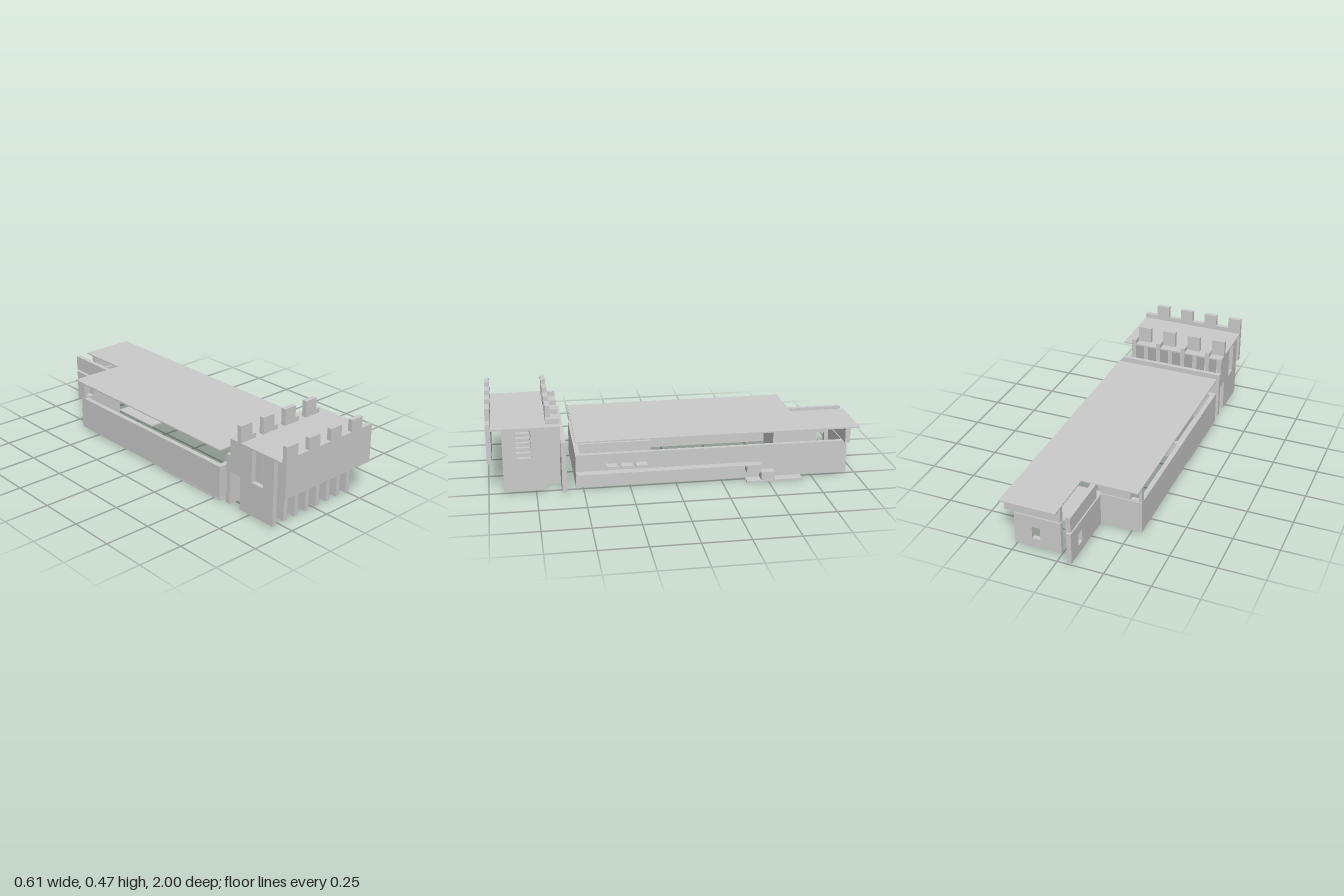
import * as THREE from 'three';

const material = new THREE.MeshStandardMaterial({ color: 0xcccccc, flatShading: true });
const T = 0.026; // wall thickness
const L = -0.307, R = 0.307; // outer sides

export function createModel() {
  const model = new THREE.Group();

  // box given by its limits on each axis
  function box(parent, name, x0, x1, y0, y1, z0, z1) {
    const mesh = new THREE.Mesh(new THREE.BoxGeometry(x1 - x0, y1 - y0, z1 - z0), material);
    mesh.position.set((x0 + x1) / 2, (y0 + y1) / 2, (z0 + z1) / 2);
    mesh.name = name;
    parent.add(mesh);
    return mesh;
  }

  // extruded outline with optional rectangular openings [u0, u1, v0, v1]
  function panel(points, holes, depth) {
    const shape = new THREE.Shape(points.map(p => new THREE.Vector2(...p)));
    for (const [u0, u1, v0, v1] of holes) {
      shape.holes.push(new THREE.Path([[u0, v0], [u0, v1], [u1, v1], [u1, v0]].map(p => new THREE.Vector2(...p))));
    }
    return new THREE.ExtrudeGeometry(shape, { depth, bevelEnabled: false });
  }
  const rect = (u0, u1, v0, v1) => [[u0, v0], [u1, v0], [u1, v1], [u0, v1]];

  // wall facing z, outline in (x, y)
  function crossWall(parent, name, points, holes, z) {
    const mesh = new THREE.Mesh(panel(points, holes, T), material);
    mesh.position.z = z;
    mesh.name = name;
    parent.add(mesh);
  }

  // wall facing x, outline in (z, y)
  function sideWall(parent, name, points, holes, x) {
    const geometry = panel(points.map(([z, y]) => [-z, y]).reverse(),
      holes.map(([a, b, c, d]) => [-b, -a, c, d]), T);
    geometry.rotateY(Math.PI / 2);
    const mesh = new THREE.Mesh(geometry, material);
    mesh.position.x = x;
    mesh.name = name;
    parent.add(mesh);
  }

  // ---- front gatehouse ----
  const gate = new THREE.Group();
  gate.name = 'gatehouse';
  model.add(gate);

  // battlemented front parapet
  const pitch = (R - L) / 8;
  const crest = [[L, 0.193], [R, 0.193]];
  for (let i = 7; i >= 0; i--) {
    const y = i % 2 ? 0.405 : 0.47;
    crest.push([L + (i + 1) * pitch, y], [L + i * pitch, y]);
  }
  crossWall(gate, 'frontParapet', crest, [], 1 - T);

  // row of upright fins with a slot; odd ones rise above the roof, end ones have a passage
  for (let i = 0; i < 8; i++) {
    const x = L + i * pitch;
    const top = i % 2 ? 0.405 : 0.372;
    const foot = i === 0 || i === 7 ? [[0.69, 0.193], [0.69, 0.01]] : [[0.616, 0.01]];
    const start = foot.length > 1 ? [[0.616, 0.193]] : [];
    sideWall(gate, 'fin', [...start, ...foot, [0.92, 0.01], [0.92, 0.372], [0.848, 0.372],
      [0.848, 0.193], [0.77, 0.193], [0.77, 0.372], [0.69, 0.372], [0.69, top], [0.616, top]], [], x);
    if (i % 2 === 0) box(gate, 'rearMerlon', x, x + pitch, 0.375, 0.47, 0.69 - T, 0.69);
  }
  box(gate, 'gatehouseRoof', L, R, 0.371, 0.379, 0.616, 1 - T);
  box(gate, 'gatehouseBackWall', L, R, 0.01, 0.287, 0.59, 0.616);

  // ---- long hall ----
  const hall = new THREE.Group();
  hall.name = 'hall';
  model.add(hall);

  // L-shaped flat roof
  const roof = new THREE.Mesh(panel(
    [[L, -0.54], [R, -0.54], [R, 1], [0, 1], [0, 0.693], [L, 0.693]], [], 0.007), material);
  roof.rotation.x = -Math.PI / 2;
  roof.position.y = 0.281;
  roof.name = 'hallRoof';
  hall.add(roof);

  // lower walls
  box(hall, 'leftWall', L, L + T, 0.01, 0.193, -0.64, 0.54);
  box(hall, 'rightWall', 0.23, 0.256, 0.01, 0.193, -0.947, 0.54);
  box(hall, 'hallFrontWall', L + T, 0.23, 0.01, 0.193, 0.514, 0.54);
  box(hall, 'backWall', L + T, -0.08, 0.01, 0.193, -0.64, -0.614);
  crossWall(hall, 'roomBackWall', rect(0, 0.23, 0.01, 0.193), [[0.115, 0.16, 0.06, 0.13]], -0.947);
  sideWall(hall, 'roomSideWall', rect(-1, -0.614, 0.01, 0.187), [[-0.915, -0.87, 0.06, 0.13]], -0.08);

  // upper walls under the roof
  crossWall(hall, 'upperBackWall', rect(L, -0.08, 0.195, 0.281), [[-0.29, -0.245, 0.2, 0.265]], -0.637);
  box(hall, 'upperRoomBackWall', 0, R, 0.2, 0.281, -0.947, -0.92);
  box(hall, 'upperSideWall', -0.08, -0.054, 0.2, 0.285, -1, -0.69);
  box(hall, 'upperInnerWall', -0.08, -0.054, 0.195, 0.281, -0.612, -0.46);

  // floor plates and the low partition around the left one
  box(hall, 'leftFloor', L, -0.154, 0, 0.008, 0.08, 0.54);
  box(hall, 'rightFloor', 0, R, 0, 0.008, -0.69, -0.38);
  box(hall, 'partition', -0.18, -0.154, 0.008, 0.1, 0.08, 0.514);
  box(hall, 'partitionEnd', L + T, -0.18, 0.008, 0.1, 0.08, 0.106);

  // outside gallery with steps and benches
  box(hall, 'gallery', 0.256, R, 0.094, 0.1, -0.38, 0.54);
  box(hall, 'upperStep', 0.256, R, 0.055, 0.1, -0.46, -0.38);
  box(hall, 'lowerStep', 0.256, R, 0.01, 0.055, -0.535, -0.46);
  for (let i = 0; i < 3; i++) {
    const z = 0.16 + i * 0.08;
    box(hall, 'bench', 0.256, R, 0.131, 0.138, z, z + 0.062);
  }

  return model;
}
